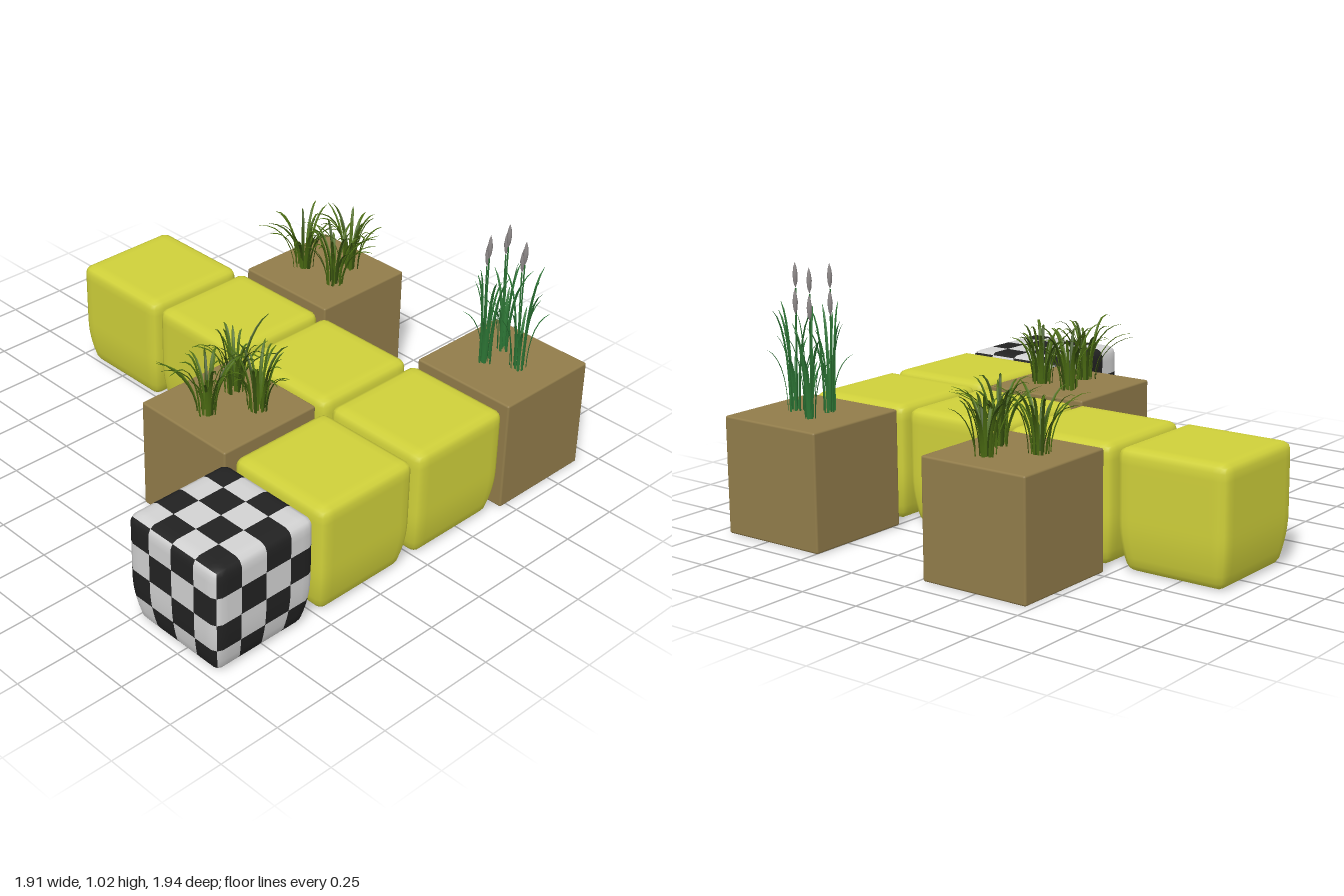
import * as THREE from 'three';
import { mergeGeometries, mergeVertices } from 'three/addons/utils/BufferGeometryUtils.js';
import { RoundedBoxGeometry } from 'three/addons/geometries/RoundedBoxGeometry.js';

const SIZE = 0.457, HEIGHT = 0.46;

function material(name, color, side = THREE.FrontSide) {
  const m = new THREE.MeshStandardMaterial({ color, side });
  m.name = name;
  return m;
}

function seeded(seed) {
  let s = seed;
  return () => (s = (s * 16807) % 2147483647) / 2147483647;
}

// Soft cube: rounded edges, tucked in towards the floor; optional 4 x 4 checks per face
function softCube(checked) {
  const n = 16, cell = n / 4, r = 0.032, half = SIZE / 2;
  let geo = new THREE.BoxGeometry(SIZE, HEIGHT, SIZE, n, n, n);
  const pos = geo.attributes.position;
  const p = new THREE.Vector3(), core = new THREE.Vector3();
  const limit = new THREE.Vector3(half - r, HEIGHT / 2 - r, half - r);
  for (let i = 0; i < pos.count; i++) {
    p.fromBufferAttribute(pos, i);
    core.copy(p).clamp(limit.clone().negate(), limit);
    p.sub(core).normalize().multiplyScalar(r).add(core);
    p.y += HEIGHT / 2;
    const t = Math.max(0, 1 - p.y / 0.2);
    const tuck = 1 - 0.13 * t * t;
    pos.setXYZ(i, p.x * tuck, p.y, p.z * tuck);
  }
  geo.clearGroups();
  if (checked) {
    for (let face = 0; face < 6; face++)
      for (let row = 0; row < n; row++)
        for (let col = 0; col < 4; col++) {
          const start = (face * n * n + row * n + col * cell) * 6;
          geo.addGroup(start, cell * 6, (Math.floor(row / cell) + col) % 2);
        }
  }
  const groups = geo.groups;
  geo.deleteAttribute('uv');
  geo.deleteAttribute('normal');
  geo = mergeVertices(geo, 1e-5);
  geo.clearGroups();
  for (const g of groups) geo.addGroup(g.start, g.count, g.materialIndex);
  geo.computeVertexNormals();
  return geo;
}

// One leaf: a folded ribbon arching away from its root
function leaf(x, z, angle, reach, height, width, arch, bend) {
  const steps = 7, verts = [], index = [];
  const dx = Math.cos(angle), dz = Math.sin(angle);
  for (let i = 0; i <= steps; i++) {
    const t = i / steps;
    const out = reach * Math.pow(t, bend);
    const y = HEIGHT - 0.005 + height * Math.sin(t * arch) / Math.sin(Math.min(arch, Math.PI / 2));
    const w = width * 0.5 * (0.65 + 0.7 * t) * Math.sqrt(1 - t * 0.995);
    for (const k of [-1, 0, 1]) {
      const fold = k === 0 ? w * 0.4 : 0;
      verts.push(x + dx * (out + fold) - dz * w * k, y - fold * 0.5, z + dz * (out + fold) + dx * w * k);
    }
    if (i < steps)
      for (const k of [0, 1]) {
        const a = i * 3 + k;
        index.push(a, a + 3, a + 1, a + 1, a + 3, a + 4);
      }
  }
  const geo = new THREE.BufferGeometry();
  geo.setAttribute('position', new THREE.Float32BufferAttribute(verts, 3));
  geo.setIndex(index);
  geo.computeVertexNormals();
  return geo;
}

export function createModel() {
  const model = new THREE.Group();
  model.name = 'modularSeating';
  const yellow = material('yellow upholstery', 0xcfd03a);
  const brown = material('brown planter', 0x917c4a);
  const white = material('white check', 0xd2d2d2);
  const black = material('black check', 0x222222);
  const grassGreen = material('grass green', 0x4a6a12, THREE.DoubleSide);
  const darkGrass = material('dark grass green', 0x36500e, THREE.DoubleSide);
  const reedGreen = material('reed green', 0x2c7434, THREE.DoubleSide);
  const headGrey = material('seed head grey', 0x8f8a8a);

  const add = (parent, name, geo, mat, x = 0, y = 0, z = 0) => {
    const mesh = new THREE.Mesh(geo, mat);
    mesh.name = name;
    mesh.position.set(x, y, z);
    parent.add(mesh);
    return mesh;
  };

  // Seat cubes
  const seatGeo = softCube(false);
  for (const [x, z] of [[-0.73, -0.205], [-0.245, -0.205], [0.24, -0.205], [0.725, -0.205], [0.725, 0.28]])
    add(model, 'seatCube', seatGeo, yellow, x, 0, z);
  add(model, 'checkedCube', softCube(true), [black, white], 0.72, 0, 0.767);

  // Planter cubes
  const planterGeo = new RoundedBoxGeometry(SIZE, HEIGHT, SIZE, 2, 0.008);
  for (const [x, z] of [[-0.245, -0.693], [0.72, -0.693], [0.23, 0.284]])
    add(model, 'planterCube', planterGeo, brown, x, HEIGHT / 2, z);

  // Arching grass tufts
  const rand = seeded(4721);
  const between = (a, b) => a + (b - a) * rand();
  const tufts = [
    [-0.2, -0.79], [-0.33, -0.65], [-0.15, -0.65],
    [0.17, 0.2], [0.32, 0.22], [0.22, 0.38],
  ];
  for (const [cx, cz] of tufts) {
    const tuft = new THREE.Group();
    tuft.name = 'grassTuft';
    const light = [], dark = [];
    const count = 22;
    for (let i = 0; i < count; i++) {
      const angle = (i * 2.4) + between(-0.25, 0.25);
      const root = between(0.01, 0.04);
      const reach = between(0.05, 0.16);
      const height = between(0.17, 0.25);
      const geo = leaf(cx + Math.cos(angle) * root, cz + Math.sin(angle) * root, angle,
        reach, height, between(0.014, 0.02), between(1.4, 1.85), 1.8);
      (i % 3 ? light : dark).push(geo);
    }
    add(tuft, 'grassBlades', mergeGeometries(light), grassGreen);
    add(tuft, 'darkGrassBlades', mergeGeometries(dark), darkGrass);
    model.add(tuft);
  }

  // Reeds: upright leaves with two seed heads per clump
  const headGeo = new THREE.LatheGeometry(
    [[0, 0], [0.007, 0.02], [0.01, 0.05], [0.006, 0.08], [0, 0.1]].map(([x, y]) => new THREE.Vector2(x, y)), 8);
  for (const [cx, cz] of [[0.66, -0.76], [0.79, -0.7], [0.67, -0.64]]) {
    const reed = new THREE.Group();
    reed.name = 'reedClump';
    const leaves = [];
    for (let i = 0; i < 12; i++) {
      const angle = i * 2.4 + between(-0.3, 0.3);
      const root = between(0.008, 0.032);
      leaves.push(leaf(cx + Math.cos(angle) * root, cz + Math.sin(angle) * root, angle,
        between(0.02, 0.08), between(0.2, 0.43), 0.016, 1.3, 2.2));
    }
    add(reed, 'reedLeaves', mergeGeometries(leaves), reedGreen);
    for (const [ox, oz, top] of [[0.015, 0.03, 1.025], [-0.05, -0.04, 0.94]]) {
      const stem = new THREE.QuadraticBezierCurve3(
        new THREE.Vector3(cx, HEIGHT - 0.01, cz),
        new THREE.Vector3(cx + ox * 0.8, HEIGHT + 0.2, cz + oz * 0.8),
        new THREE.Vector3(cx + ox, top - 0.1, cz + oz));
      add(reed, 'reedStem', new THREE.TubeGeometry(stem, 8, 0.003, 5), reedGreen);
      add(reed, 'seedHead', headGeo, headGrey, cx + ox, top - 0.1, cz + oz);
    }
    model.add(reed);
  }
  return model;
}
